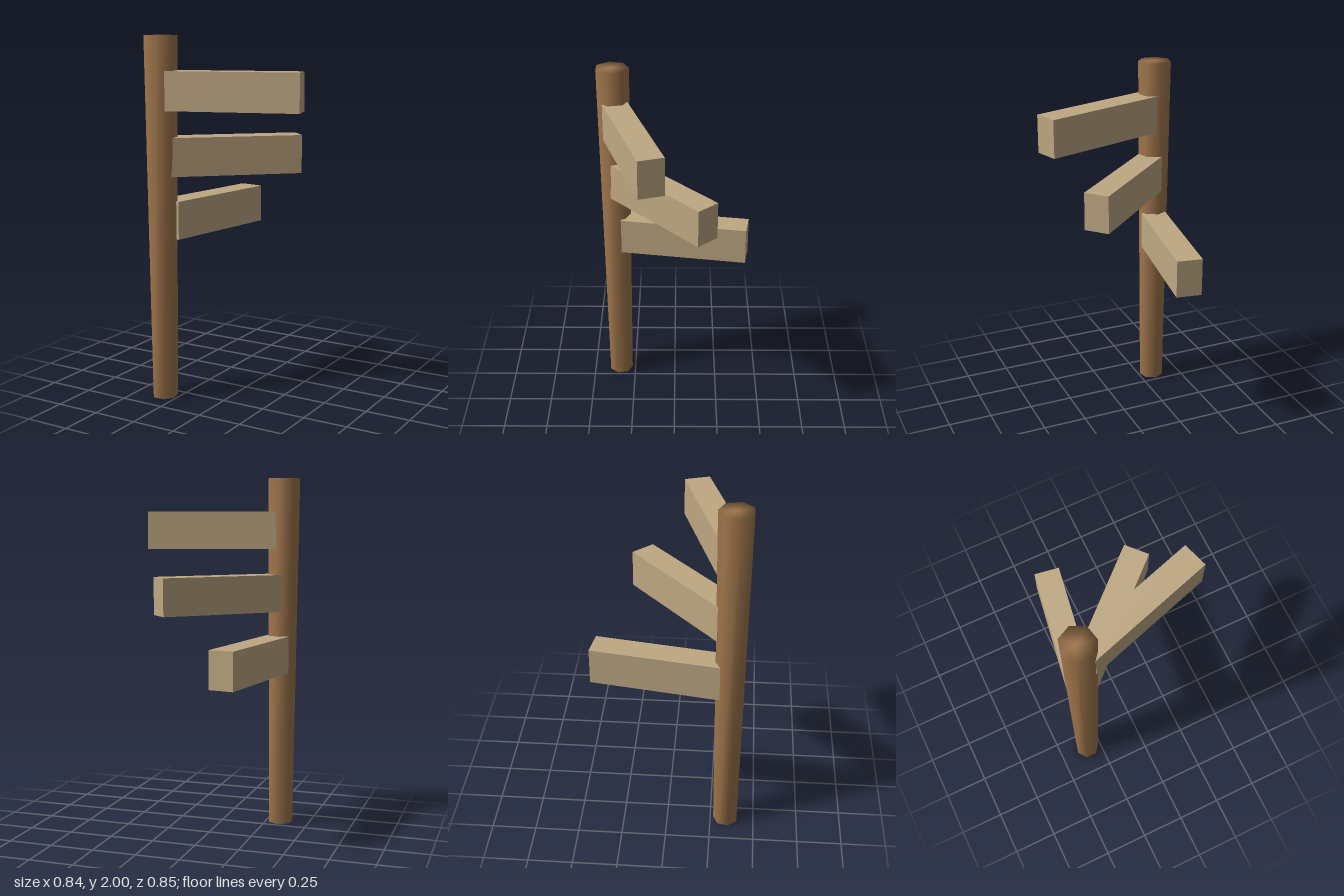
import * as THREE from 'three';
import { mergeVertices } from 'three/addons/utils/BufferGeometryUtils.js';

export function createModel() {
  const model = new THREE.Group();
  model.name = 'signpost';
  const postWood = new THREE.MeshStandardMaterial({ color: 0xa0764c });
  const boardWood = new THREE.MeshStandardMaterial({ color: 0xbfa883 });

  // Seven-sided post, widening upwards, shaded smoothly across its rims
  const raw = new THREE.CylinderGeometry(0.0936, 0.071, 2, 7, 1, false, Math.PI);
  raw.deleteAttribute('normal');
  raw.deleteAttribute('uv');
  const postGeometry = mergeVertices(raw, 1e-4);
  postGeometry.computeVertexNormals();
  const post = new THREE.Mesh(postGeometry, postWood);
  post.name = 'post';
  post.position.set(-0.331, 1, 0.339);
  model.add(post);

  // Sign boards fanning out from the post: [name, height, end x, end z, angle in degrees]
  const length = 0.722;
  const boardGeometry = new THREE.BoxGeometry(length, 0.21, 0.141);
  boardGeometry.translate(-length / 2, 0, 0); // origin at the outer end
  const boards = [
    ['topBoard', 1.71, 0.4, 0.1125, 17.3],
    ['middleBoard', 1.355, 0.2325, -0.1765, 42.5],
    ['bottomBoard', 1.003, -0.201, -0.414, 80.9],
  ];
  for (const [name, y, x, z, angle] of boards) {
    const board = new THREE.Mesh(boardGeometry, boardWood);
    board.name = name;
    board.position.set(x, y, z);
    board.rotation.y = THREE.MathUtils.degToRad(angle);
    model.add(board);
  }
  return model;
}
